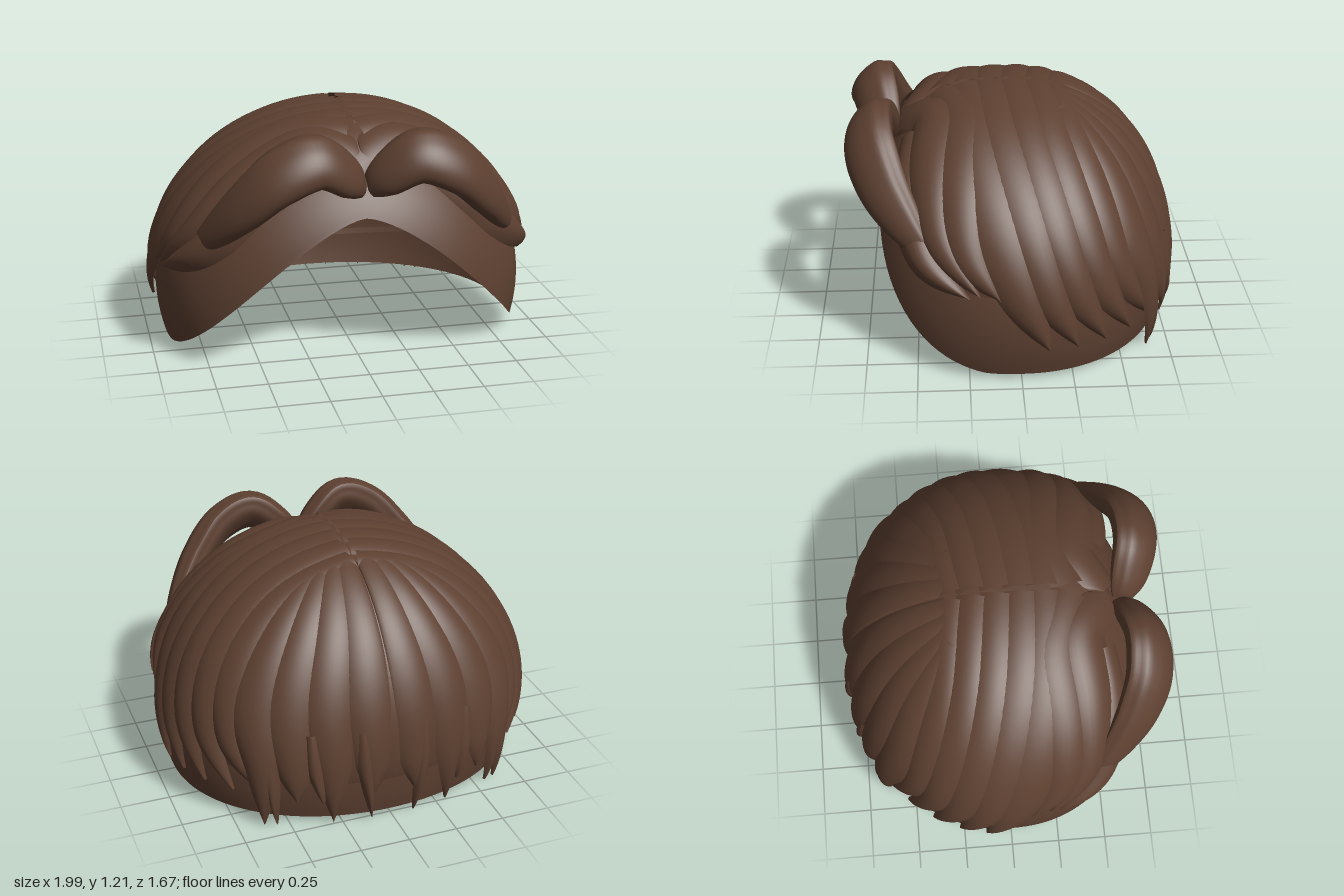
import * as THREE from 'three';

const hair = new THREE.MeshStandardMaterial({ color: 0x5d4031, side: THREE.DoubleSide });
hair.name = 'brown hair';

const CY = 0.3, RY = 0.93, BACK = 0.828;
const HAIR = { front: 0.75, power: 2.8 }, SCALP = { front: 0.8, power: 2.25 };
const V = (x, y, z) => new THREE.Vector3(x, y, z);
const power = (z, shape = HAIR) => (z > 0 ? shape.power : 2.1);
const depth = (z, shape = HAIR) => (z > 0 ? shape.front : BACK);

// Push any point onto the rounded head shape, scaled by s
function project(p, s, shape = HAIR) {
  const d = depth(p.z, shape), n = power(p.z, shape);
  const q = V(p.x, (p.y - CY) / RY, p.z / d);
  const len = Math.pow(Math.pow(Math.hypot(q.x, q.y), n) + Math.pow(Math.abs(q.z), n), 1 / n);
  q.multiplyScalar(s / len);
  return V(q.x, CY + q.y * RY, q.z * d);
}

// Points on the head seen from the side (y, z) and from behind (x, y)
function onSide(y, z) {
  const n = power(z), qy = (y - CY) / RY;
  const r = Math.pow(Math.max(0, 1 - Math.pow(Math.abs(z / depth(z)), n)), 2 / n);
  return V(Math.sqrt(Math.max(0.0004, r - qy * qy)), y, z);
}
function onBack(x, y) {
  const qy = (y - CY) / RY;
  return V(x, y, -BACK * Math.sqrt(Math.max(0.0004, 1 - x * x - qy * qy)));
}

// Smooth surface from a rule fn(u, v) with u, v in 0..1
function grid(name, nu, nv, fn) {
  const pos = [], idx = [];
  for (let j = 0; j <= nv; j++) {
    for (let i = 0; i <= nu; i++) pos.push(...fn(i / nu, j / nv).toArray());
  }
  for (let j = 0; j < nv; j++) {
    for (let i = 0; i < nu; i++) {
      const a = j * (nu + 1) + i, b = a + nu + 1;
      idx.push(a, b, a + 1, b, b + 1, a + 1);
    }
  }
  const g = new THREE.BufferGeometry();
  g.setAttribute('position', new THREE.Float32BufferAttribute(pos, 3));
  g.setIndex(idx);
  g.computeVertexNormals();
  const m = new THREE.Mesh(g, hair);
  m.name = name;
  return m;
}

// Dome running from the crown down to a rim height given by edge(point)
function dome(name, shape, scale, edge) {
  const at = (a, t, s) => project(V(Math.sin(t) * Math.sin(a), CY + Math.cos(t) * RY,
    Math.sin(t) * Math.cos(a) * depth(Math.cos(a), shape)), s, shape);
  return grid(name, 128, 36, (u, v) => {
    const a = Math.PI + u * Math.PI * 2;
    let lo = 0.05, hi = 2.4;
    for (let k = 0; k < 30; k++) {
      const mid = (lo + hi) / 2, p = at(a, mid, scale(1));
      if (p.y > edge(p)) lo = mid; else hi = mid;
    }
    return at(a, lo * v, scale(v));
  });
}

// Pointed lock of hair lying on the head along a path, flat at the root
function lock(name, sign, pts, width, lift = 0, flare = 0) {
  const curve = new THREE.CatmullRomCurve3(pts.map((p) => project(p, 1)));
  return grid(name, 12, 32, (u, v) => {
    const c = curve.getPoint(v), t = curve.getTangent(v), k = u * 2 - 1;
    const out = c.clone().sub(V(0, CY, 0)).normalize();
    const side = t.cross(out).normalize();
    const w = width * (0.5 + 0.5 * Math.min(1, 2 * v)) * (1 - Math.pow(v, 3)) + 0.001;
    const base = 0.99 - 0.025 * Math.min(1, 1.5 * v);
    const hump = (1.009 - base + lift * Math.sin(Math.PI * v)) * (1 - 0.7 * Math.pow(v, 6));
    const p = project(c.addScaledVector(side, w * k), base + hump * (1 - k * k) + flare * v * v);
    p.x = Math.max(0.003, p.x) * sign;
    return p;
  });
}

// Thick arched tuft with ridges along its length
function tuft(sign) {
  const curve = new THREE.CatmullRomCurve3([
    V(0.02, 0.95, 0.63), V(0.1, 1.02, 0.67), V(0.25, 1.11, 0.71), V(0.42, 1.05, 0.71),
    V(0.57, 0.91, 0.65), V(0.69, 0.77, 0.55), V(0.8, 0.64, 0.43)]);
  return grid('frontTuft', 48, 48, (u, v) => {
    const c = curve.getPoint(v), t = curve.getTangent(v), a = u * Math.PI * 2;
    const wide = V(0, 0.75, -0.66);
    wide.addScaledVector(t, -wide.dot(t)).normalize();
    const thick = t.clone().cross(wide).normalize();
    const size = 0.05 + 0.95 * Math.pow(Math.sin(Math.PI * Math.pow(0.05 + 0.95 * v, 0.95)), 0.55);
    const ridge = 1 + 0.04 * Math.cos(a * 7) * Math.max(0, Math.cos(a));
    c.addScaledVector(wide, 0.145 * size * ridge * Math.cos(a));
    c.addScaledVector(thick, 0.088 * size * ridge * Math.sin(a));
    c.x = Math.max(0.004, c.x) * sign;
    return c;
  });
}

export function createModel() {
  const model = new THREE.Group();
  model.name = 'hair';

  // Open scalp shell with an arched front rim
  model.add(dome('scalp', SCALP, () => 0.95, (p) =>
    p.z > 0 ? Math.max(0.06, 0.8 - 0.74 * Math.pow(Math.abs(p.x) / 0.9, 1.5)) : 0.06));

  // Base layer of hair with a peaked hairline
  model.add(dome('hairBase', HAIR, (v) => 0.988 - 0.045 * Math.pow(v, 8), (p) => {
    const x = Math.abs(p.x);
    if (p.z < 0) return 0.42 - 0.25 * -p.z;
    return x < 0.2 ? 0.92 + 0.65 * x : 1.05 - 0.79 * (x - 0.2);
  }));

  for (const sign of [1, -1]) {
    model.add(tuft(sign));

    // Broad sweeps behind and below the tuft
    model.add(lock('lowerSweep', sign, [V(0.28, 1.08, 0.54), V(0.58, 0.84, 0.55),
      V(0.8, 0.63, 0.47), V(0.95, 0.49, 0.25)], 0.13, 0.025));
    model.add(lock('frontSweep', sign, [V(0.03, 1.05, 0.54), V(0.22, 1.16, 0.42),
      V(0.54, 0.99, 0.44), V(0.8, 0.74, 0.4), V(0.96, 0.5, 0.2)], 0.19, 0.02));
    model.add(lock('frontSweep', sign, [V(0.02, 1.2, 0.36), V(0.3, 1.18, 0.26),
      V(0.64, 0.95, 0.28), V(0.87, 0.68, 0.25), V(0.97, 0.48, 0.1)], 0.19, 0.008));

    // Side locks sweeping from the parting down and back
    [-0.14, -0.28, -0.42, -0.55, -0.66].forEach((tip, i) => {
      model.add(lock('sideLock', sign, [V(0.015, 1.23, 0.24 - 0.12 * i),
        V(0.45, 1.1, 0.2 - 0.13 * i), onSide(0.8, Math.max(-0.56, tip + 0.24)),
        onSide(0.48, tip + 0.13), onSide(0.2, tip)], 0.19 - 0.01 * i, 0.002));
    });

    // Back locks with alternating long and short tips
    [0.11, 0.3, 0.47, 0.6].forEach((x, i) => {
      model.add(lock('backLock', sign, [V(0.02 + x * 0.35, 1.2, -0.26), onBack(x * 0.75, 0.98),
        onBack(x * 1.05, 0.65), onBack(x * 1.04, 0.35), onBack(x, i % 2 ? 0.04 : 0.18)],
      0.15, 0, 0.11 * x * x));
    });

    // Thin loose strands low on the back
    [0.12, 0.36, 0.56].forEach((x, i) => {
      model.add(lock('looseStrand', sign, [onBack(x + 0.04, 0.55), onBack(x + 0.03, 0.35),
        onBack(x - 0.01, i === 1 ? 0.16 : 0.04)], 0.05, 0, 0.01 + 0.06 * x * x));
    });
  }
  return model;
}
